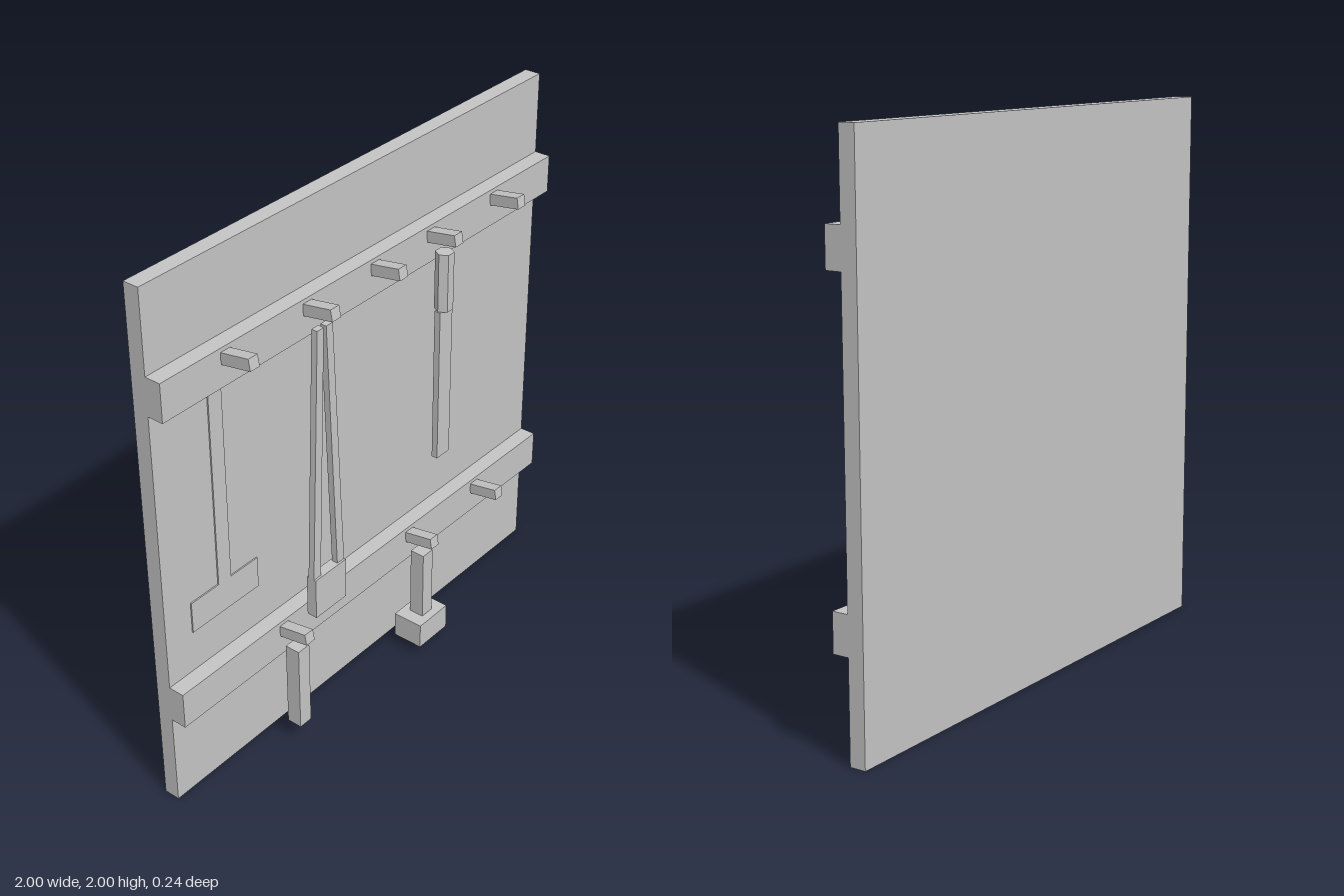
import * as THREE from 'three';

export function createModel() {
  const model = new THREE.Group();
  model.name = 'toolBoard';
  const grey = new THREE.MeshStandardMaterial({ color: 0xc4c4c4 });
  grey.name = 'plain grey';

  function add(name, geometry) {
    const mesh = new THREE.Mesh(geometry, grey);
    mesh.name = name;
    model.add(mesh);
    return mesh;
  }

  // Box given by its lower and upper bounds on each axis
  function box(name, [x0, x1], [y0, y1], [z0, z1]) {
    const mesh = add(name, new THREE.BoxGeometry(x1 - x0, y1 - y0, z1 - z0));
    mesh.position.set((x0 + x1) / 2, (y0 + y1) / 2, (z0 + z1) / 2);
    return mesh;
  }

  // Backing board with two rails
  box('board', [-1, 1], [0, 2], [-0.12, -0.06]);
  box('upperRail', [-1, 1], [1.56, 1.7], [-0.06, 0]);
  box('lowerRail', [-1, 1], [0.36, 0.5], [-0.06, 0]);

  // Pegs slope upwards, away from the rails
  function pegs(name, y, xs) {
    for (const x of xs) {
      const peg = add(name, new THREE.BoxGeometry(0.042, 0.042, 0.12));
      peg.position.set(x, y, 0.058);
      peg.rotation.x = -0.17;
    }
  }
  pegs('upperPeg', 1.674, [-0.72, -0.34, 0, 0.3, 0.66]);
  pegs('lowerPeg', 0.474, [-0.5, 0.2, 0.6]);

  // Thin outline of an absent hammer, fixed to the board
  box('outlineHandle', [-0.75, -0.69], [0.78, 1.56], [-0.06, -0.055]);
  box('outlineHead', [-0.88, -0.56], [0.66, 0.78], [-0.06, -0.055]);

  // Tongs: two spreading arms and a jaw block
  for (const side of [-1, 1]) {
    const shape = new THREE.Shape([
      new THREE.Vector2(side * 0.006, 1.62),
      new THREE.Vector2(side * 0.038, 1.62),
      new THREE.Vector2(side * 0.08, 0.66),
      new THREE.Vector2(side * 0.044, 0.66),
    ]);
    const arm = add('tongsArm', new THREE.ExtrudeGeometry(shape, { depth: 0.024, bevelEnabled: false }));
    arm.position.set(-0.34, 0, 0.048);
  }
  box('tongsJaw', [-0.42, -0.26], [0.5, 0.66], [0.04, 0.08]);

  // File: six-sided handle and flat blade
  const fileHandle = add('fileHandle',
    new THREE.CylinderGeometry(0.033, 0.033, 0.22, 6, 1, false, Math.PI / 6).toNonIndexed());
  fileHandle.geometry.computeVertexNormals();
  fileHandle.position.set(0.3, 1.51, 0.06);
  box('fileBlade', [0.265, 0.335], [0.8, 1.4], [0.048, 0.072]);

  // Punch
  box('punch', [-0.528, -0.472], [0.08, 0.42], [0.031, 0.089]);

  // Mallet hanging head down
  box('malletHandle', [0.172, 0.228], [0.14, 0.42], [0.031, 0.089]);
  box('malletHead', [0.12, 0.28], [0.04, 0.14], [0, 0.12]);

  return model;
}
